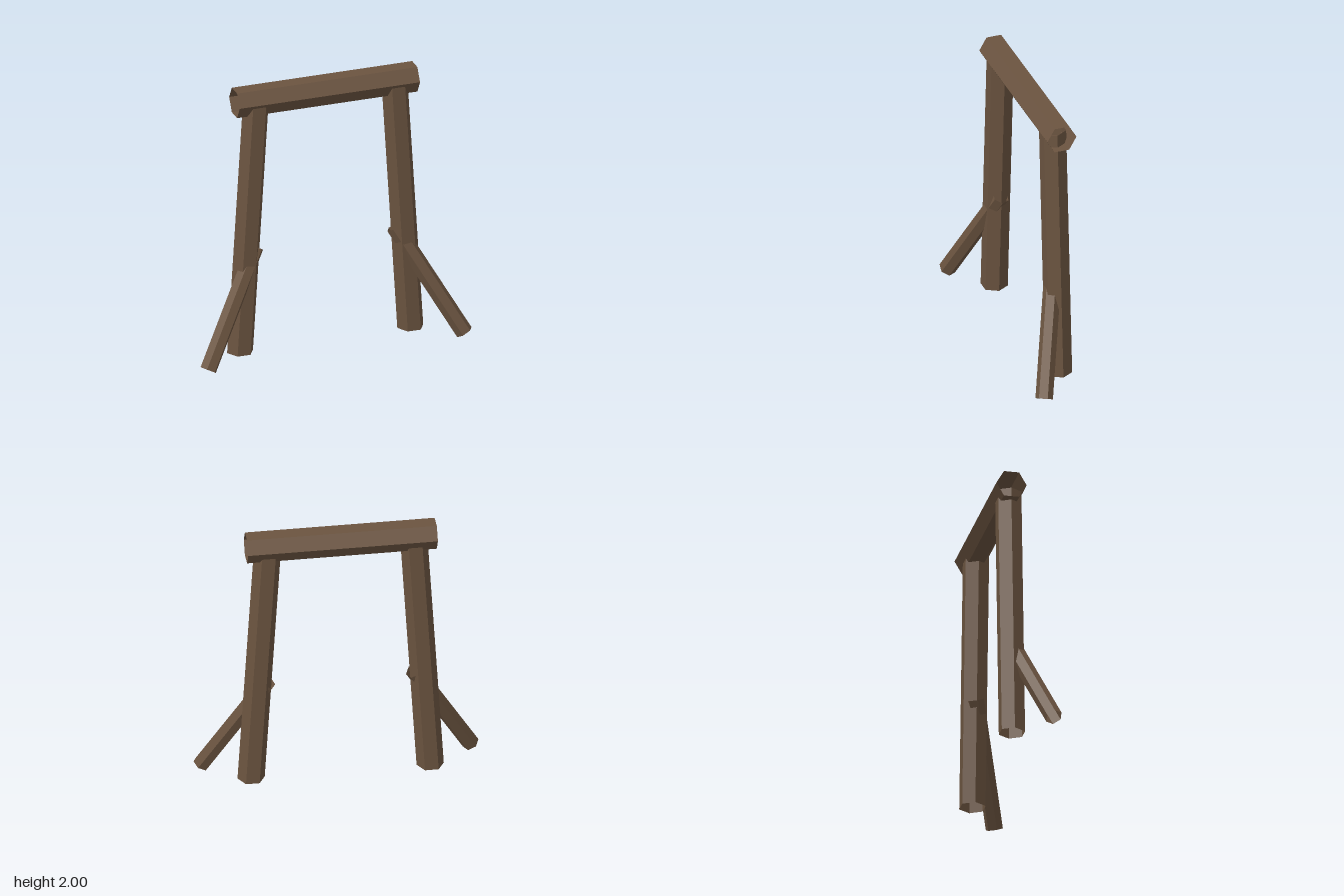
import * as THREE from 'three';

const wood = new THREE.MeshStandardMaterial({ color: 0x6b5440 });
wood.name = 'brownWood';
wood.flatShading = true;
wood.side = THREE.DoubleSide; // the timbers are open-ended tubes

// Open six-sided timber along y, with corners on +z and -z
const timber = (radius, length) => new THREE.CylinderGeometry(radius, radius, length, 6, 1, true);

function addPart(group, name, geometry) {
  const mesh = new THREE.Mesh(geometry, wood);
  mesh.name = name;
  group.add(mesh);
}

// Leaning post whose ends stay level: a sheared prism
function postGeometry(side) {
  const bottom = 0.03, top = 1.907, xBottom = 0.624, xTop = 0.508;
  const shear = new THREE.Matrix4();
  shear.elements[4] = side * (xTop - xBottom) / (top - bottom);
  return timber(0.095, top - bottom)
    .rotateY(Math.PI / 2)
    .applyMatrix4(shear)
    .translate(side * (xBottom + xTop) / 2, (bottom + top) / 2, -0.084);
}

// Diagonal brace from the ground into the post, with two corners level
function braceGeometry(side) {
  const foot = new THREE.Vector3(side * 0.939, 0.031, 0.142);
  const head = new THREE.Vector3(side * 0.51, 0.8, -0.088);
  const axis = head.clone().sub(foot);
  const length = axis.length();
  axis.normalize();
  const level = new THREE.Vector3(-axis.z, 0, axis.x).normalize();
  const third = new THREE.Vector3().crossVectors(axis, level);
  const frame = new THREE.Matrix4().makeBasis(third, axis, level);
  frame.setPosition(foot.add(head).multiplyScalar(0.5));
  return timber(0.061, length).applyMatrix4(frame);
}

export function createModel() {
  const model = new THREE.Group();
  model.name = 'timberFrame';

  // Crossbeam over both posts
  addPart(model, 'crossbeam', timber(0.107, 1.322).rotateZ(Math.PI / 2).translate(0, 1.907, -0.095));

  // Posts and braces, mirrored
  for (const [side, label] of [[1, 'left'], [-1, 'right']]) {
    addPart(model, label + 'Post', postGeometry(side));
    addPart(model, label + 'Brace', braceGeometry(side));
  }
  return model;
}
